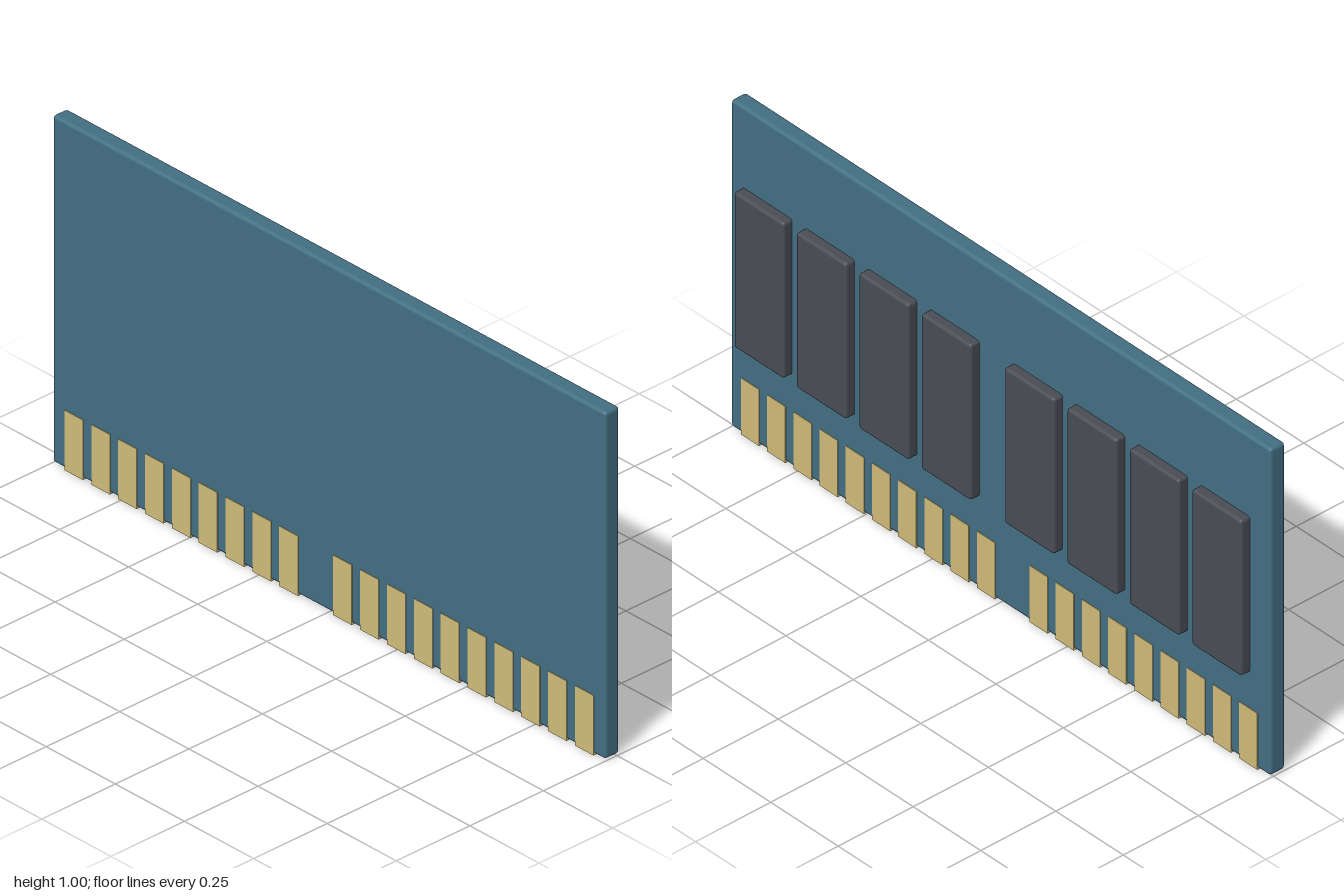
import * as THREE from 'three';
import { RoundedBoxGeometry } from 'three/addons/geometries/RoundedBoxGeometry.js';

export function createModel() {
  const model = new THREE.Group();
  model.name = 'memoryModule';

  const boardMat = new THREE.MeshStandardMaterial({ color: 0x437084 });
  const chipMat = new THREE.MeshStandardMaterial({ color: 0x4b4d55 });
  const goldMat = new THREE.MeshStandardMaterial({ color: 0xd2bd7a });

  const add = (name, geometry, material, x, y, z) => {
    const mesh = new THREE.Mesh(geometry, material);
    mesh.name = name;
    mesh.position.set(x, y, z);
    model.add(mesh);
  };

  // Circuit board with softly rounded edges
  add('board', new RoundedBoxGeometry(0.05, 0.997, 2, 2, 0.01), boardMat, -0.015, 0.5015, 0);

  // Two banks of four chips; the inner part of each body is sunk into the board
  const chipGeo = new RoundedBoxGeometry(0.05, 0.475, 0.185, 2, 0.009);
  for (const start of [0.864, -0.138]) {
    for (let i = 0; i < 4; i++) {
      add('memoryChip', chipGeo, chipMat, 0.015, 0.518, start - i * 0.2313);
    }
  }

  // Gold contacts wrapping the lower edge, separated by a key gap
  const contactGeo = new THREE.BoxGeometry(0.054, 0.172, 0.067);
  for (const [start, count] of [[0.926, 10], [-0.143, 9]]) {
    for (let i = 0; i < count; i++) {
      add('edgeContact', contactGeo, goldMat, -0.015, 0.086, start - i * 0.0971);
    }
  }

  return model;
}
